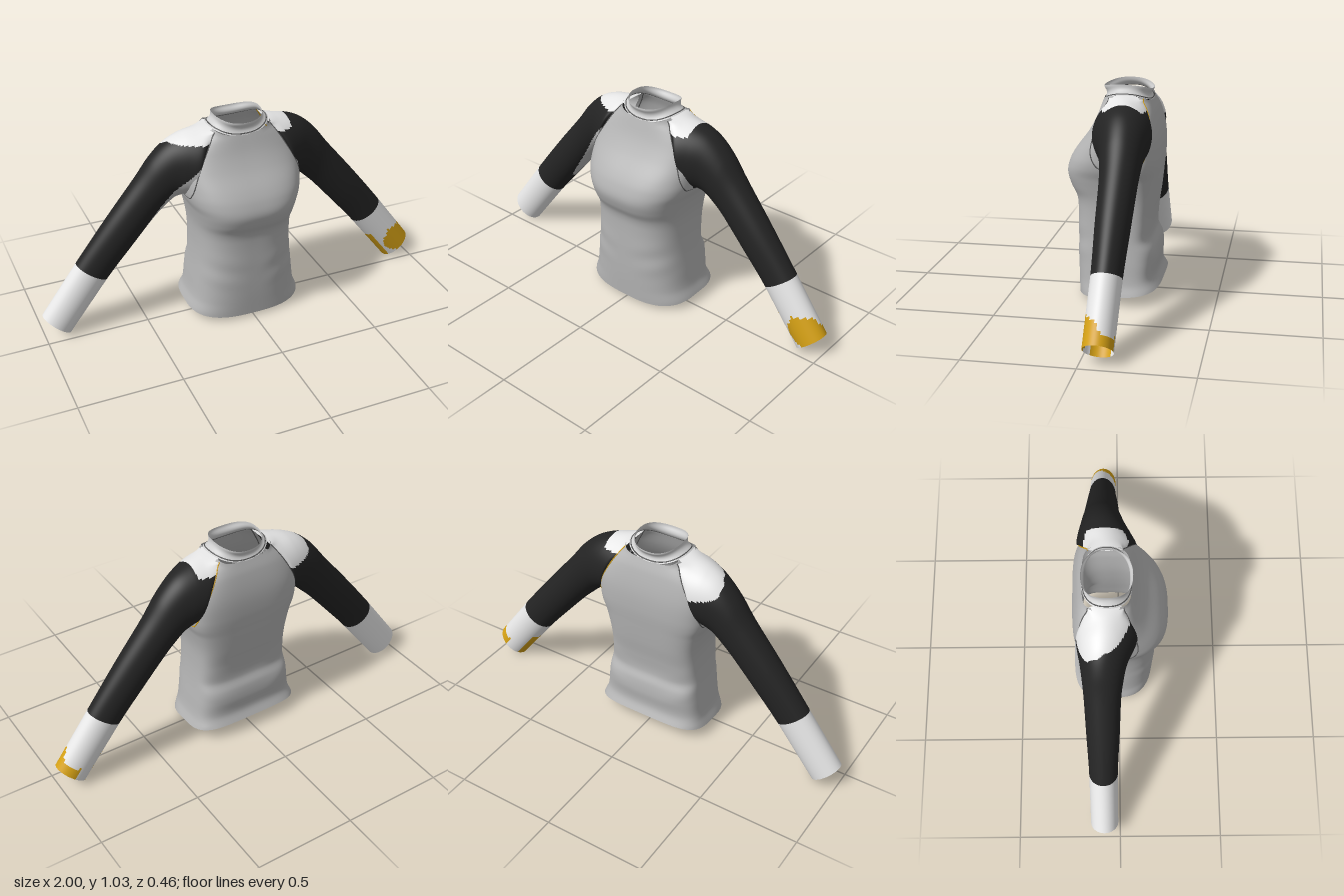
import * as THREE from 'three';

const paint = (name, color) => {
  const m = new THREE.MeshStandardMaterial({ color, side: THREE.DoubleSide });
  m.name = name;
  return m;
};
const grey = paint('torso grey', 0xb4b4b4);
const white = paint('panel white', 0xe6e6e6);
const collarGrey = paint('collar light grey', 0xcfcfcf);
const black = paint('sleeve black', 0x232323);
const gold = paint('gold', 0xd4a015);
const stitch = paint('stitch grey', 0x5a5a5a);

// Smooth curve through [key, value] pairs
function curve(pts) {
  const slope = i => {
    const a = pts[Math.max(i - 1, 0)], b = pts[Math.min(i + 1, pts.length - 1)];
    return (b[1] - a[1]) / (b[0] - a[0]);
  };
  return v => {
    if (v <= pts[0][0]) return pts[0][1];
    if (v >= pts[pts.length - 1][0]) return pts[pts.length - 1][1];
    let i = 0;
    while (v > pts[i + 1][0]) i++;
    const h = pts[i + 1][0] - pts[i][0], t = (v - pts[i][0]) / h;
    const t2 = t * t, t3 = t2 * t;
    return (2 * t3 - 3 * t2 + 1) * pts[i][1] + (t3 - 2 * t2 + t) * h * slope(i)
      + (3 * t2 - 2 * t3) * pts[i + 1][1] + (t3 - t2) * h * slope(i + 1);
  };
}

// Tube-like surface; pick() gives the material of each quad, or -1 for a hole
function surface(name, rows, cols, point, mats, pick, flip = false) {
  const pos = [], lists = mats.map(() => []);
  for (let i = 0; i <= rows; i++)
    for (let j = 0; j < cols; j++) pos.push(...point(i / rows, (j / cols) * Math.PI * 2));
  for (let i = 0; i < rows; i++) {
    for (let j = 0; j < cols; j++) {
      const k = pick((i + 0.5) / rows, ((j + 0.5) / cols) * Math.PI * 2);
      if (k < 0) continue;
      const n = (j + 1) % cols;
      const a = i * cols + j, b = i * cols + n, c = b + cols, d = a + cols;
      lists[k].push(...(flip ? [a, c, b, a, d, c] : [a, b, c, a, c, d]));
    }
  }
  const g = new THREE.BufferGeometry();
  g.setAttribute('position', new THREE.Float32BufferAttribute(pos, 3));
  g.setIndex(lists.flat());
  let start = 0;
  lists.forEach((l, k) => { g.addGroup(start, l.length, k); start += l.length; });
  g.computeVertexNormals();
  const mesh = new THREE.Mesh(g, mats);
  mesh.name = name;
  return mesh;
}

// Torso profiles by height: half width, front depth, back depth, raglan seam
const halfWidth = curve([[0.02, 0.298], [0.045, 0.293], [0.1, 0.272], [0.2, 0.258], [0.3, 0.246], [0.4, 0.24],
  [0.5, 0.243], [0.6, 0.262], [0.65, 0.28], [0.7, 0.288], [0.8, 0.285], [0.88, 0.25], [0.93, 0.205], [0.96, 0.168], [0.99, 0.147]]);
const frontZ = curve([[0.02, 0.175], [0.15, 0.182], [0.3, 0.185], [0.45, 0.186], [0.5, 0.195], [0.55, 0.22],
  [0.61, 0.235], [0.67, 0.22], [0.72, 0.192], [0.8, 0.132], [0.87, 0.093], [0.96, 0.06]]);
const backZ = curve([[0.07, -0.232], [0.12, -0.208], [0.2, -0.21], [0.26, -0.202], [0.31, -0.182], [0.4, -0.186],
  [0.5, -0.2], [0.6, -0.21], [0.7, -0.217], [0.8, -0.212], [0.9, -0.19], [0.96, -0.165]]);
const seamX = curve([[0.655, 0.28], [0.7, 0.274], [0.78, 0.25], [0.86, 0.21], [0.92, 0.175], [0.96, 0.148], [0.985, 0.128]]);
const MID = -0.045, FRONT_POWER = 2.8, BACK_POWER = 4;

function torsoPoint(t, a) {
  const s = Math.sin(a), c = Math.cos(a);
  const hem = 0.0475 - 0.0275 * c, neck = 0.957 + 0.033 * s * s;
  const y = hem + (neck - hem) * t;
  const p = 2 / (c > 0 ? FRONT_POWER : BACK_POWER);
  const x = Math.sign(s) * halfWidth(y) * Math.abs(s) ** p;
  const edge = c > 0 ? frontZ(y) : backZ(y);
  // soft drape folds around the waist
  const fold = 0.005 * Math.sin(45 * y - 14 * Math.abs(x)) * Math.exp(-(((y - 0.27) / 0.09) ** 2)) * Math.abs(s * c);
  return [x, y, MID + (edge - MID) * Math.abs(c) ** p + fold * Math.sign(c)];
}

function torsoZ(x, y, front) {
  const n = front ? FRONT_POWER : BACK_POWER;
  const r = Math.max(0, 1 - (x / halfWidth(y)) ** n) ** (1 / n);
  return MID + ((front ? frontZ(y) : backZ(y)) - MID) * r;
}

// Sleeve stations: top x, y, underside x, y, front z, back z
const stations = [
  [0.19, 0.976, 0.29, 0.656, 0.083, -0.196], [0.27, 0.957, 0.308, 0.65, 0.06, -0.19],
  [0.345, 0.922, 0.335, 0.633, 0.036, -0.18], [0.42, 0.855, 0.375, 0.595, 0.02, -0.172],
  [0.5, 0.752, 0.43, 0.54, 0.008, -0.165], [0.65, 0.57, 0.545, 0.408, 0, -0.157],
  [0.815, 0.36, 0.67, 0.26, -0.01, -0.148], [1, 0.112, 0.87, 0.002, -0.01, -0.145]];

function ring(k, a) {
  const c = Math.cos(a), s = Math.sin(a);
  if (k <= 0) { // armhole, lying on the torso
    const y = 0.82 + 0.165 * c, x = seamX(y);
    return [x, y, MID + (torsoZ(x, y, s > 0) - MID) * Math.min(1, Math.abs(s) * 2.5)];
  }
  const [tx, ty, bx, by, f, b] = stations[Math.min(k, 8) - 1];
  return [(tx + bx) / 2 + (tx - bx) / 2 * c, (ty + by) / 2 + (ty - by) / 2 * c, (f + b) / 2 + (f - b) / 2 * s];
}

function sleevePoint(t, a) {
  const u = t * 8, k = Math.min(7, Math.floor(u)), f = u - k;
  const [p, q, r, s] = [k - 1, k, k + 1, k + 2].map(n => ring(n, a));
  if (k === 7) return q.map((v, i) => v + (r[i] - v) * f);
  return q.map((v, i) => {
    const m0 = k === 0 ? r[i] - v : (r[i] - p[i]) / 2, m1 = (s[i] - v) / 2;
    return v + f * (m0 + f * (3 * (r[i] - v) - 2 * m0 - m1 + f * (2 * (v - r[i]) + m0 + m1)));
  });
}

// Sleeve panels: 0 black, 1 white, 2 gold, 3 grey
function leftPanel(t, a) {
  const [x, y, z] = sleevePoint(t, a), c = Math.cos(a);
  if (t < 7 / 8) return y > 0.925 && x < 0.255 ? 1 : 0;
  const disc = z > -0.08 && Math.hypot(x - 0.91, y - 0.125) < 0.072;
  const outer = c > 0.1 && y < 0.19 - 0.8 * Math.max(0, -0.05 - z);
  const under = c < -0.75 && t > 0.925;
  return disc || outer || under ? 2 : 1;
}
function rightPanel(t, a) {
  const [x, y, z] = sleevePoint(t, a);
  if (t > 7 / 8) return 1;
  if (x < 0.36 && y > 0.925 + Math.min(0, (z + 0.07) * 0.7)) return 1;
  const line = x > 0.35 ? 0.7 - (x - 0.35) * 1.43 : 0.7 + (0.35 - x) * 1.1;
  return z > -0.085 && x < 0.56 && y < line ? 3 : 0;
}

// Thin piping along the front or back raglan seam
function piping(name, side, front, mat) {
  const pts = [];
  for (let i = 0; i <= 24; i++) {
    const a = (front ? 1 : -1) * (0.4 + 2.65 * i / 24);
    const [x, y, z] = ring(0, a);
    pts.push(new THREE.Vector3(x * side, y, z));
  }
  const mesh = new THREE.Mesh(new THREE.TubeGeometry(new THREE.CatmullRomCurve3(pts), 60, 0.003, 6), mat);
  mesh.name = name;
  return mesh;
}

// Collar: flares slightly at its top and at its base
function collarPoint(t, a) {
  const s = Math.sin(a), c = Math.cos(a);
  const base = 0.953 + 0.035 * s * s, top = 1.01 + 0.022 * s * s + 0.004 * c;
  const w = 0.117 + 0.034 * (1 - t) ** 3;
  const pinch = 0.012 * Math.sin(Math.PI * Math.min(1, t * 1.2));
  const depth = 0.116 - pinch + 0.002 * t;
  return [w * Math.sign(s) * Math.abs(s) ** 0.85, base + (top - base) * t, -0.053 + depth * Math.sign(c) * Math.abs(c) ** 0.85];
}

export function createModel() {
  const model = new THREE.Group();
  model.name = 'raglanTop';

  // Torso, open at both armholes
  model.add(surface('torso', 100, 160, torsoPoint, [grey], (t, a) => {
    const [x, y] = torsoPoint(t, a);
    return y > 0.665 && Math.abs(x) > seamX(y) + 0.014 ? -1 : 0;
  }));

  model.add(surface('collar', 10, 64, collarPoint, [collarGrey], () => 0));
  const neckSeam = [];
  for (let i = 0; i < 32; i++) {
    const [x, y, z] = collarPoint(0.1, i / 32 * Math.PI * 2);
    neckSeam.push(new THREE.Vector3(x, y, z));
  }
  const neckPiping = new THREE.Mesh(new THREE.TubeGeometry(new THREE.CatmullRomCurve3(neckSeam, true), 80, 0.003, 6, true), stitch);
  neckPiping.name = 'neckPiping';
  model.add(neckPiping);

  // Sleeves with shoulder yoke, black arm and cuff
  const mats = [black, white, gold, grey];
  model.add(surface('leftSleeve', 160, 96, sleevePoint, mats, leftPanel));
  const mirrored = (t, a) => { const [x, y, z] = sleevePoint(t, a); return [-x, y, z]; };
  model.add(surface('rightSleeve', 160, 96, mirrored, mats, rightPanel, true));

  model.add(piping('leftFrontPiping', 1, true, stitch), piping('leftBackPiping', 1, false, gold));
  model.add(piping('rightFrontPiping', -1, true, stitch), piping('rightBackPiping', -1, false, stitch));
  return model;
}
